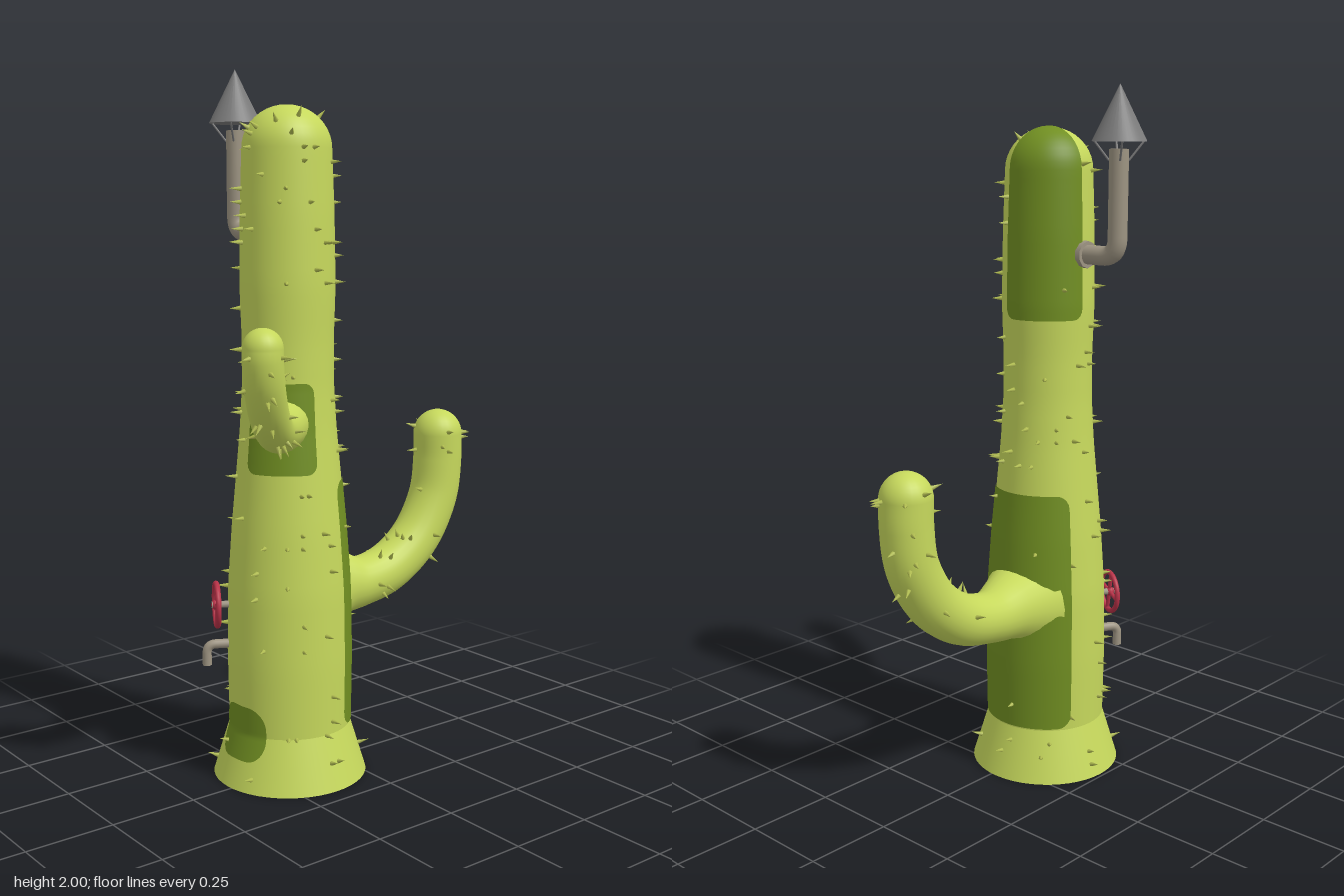
import * as THREE from 'three';
import { mergeGeometries } from 'three/addons/utils/BufferGeometryUtils.js';

const CX = -0.155, CZ = -0.02; // trunk axis
const V = (x, y, z) => new THREE.Vector3(x, y, z);
const mat = (color, side = THREE.FrontSide) => new THREE.MeshStandardMaterial({ color, side });
const skin = mat(0xc6d85c), dark = mat(0x718f22), pipeMat = mat(0x9d9482);
const hoodMat = mat(0x7b7b7b), red = mat(0xb83248), spineMat = mat(0xb3bf52);

let seed = 7;
const rand = () => (seed = (seed * 16807) % 2147483647) / 2147483647;

function add(parent, name, geometry, material) {
  const mesh = new THREE.Mesh(geometry, material);
  mesh.name = name;
  parent.add(mesh);
  return mesh;
}

// Trunk radius by height: flared foot, gentle taper, domed top
const PROFILE = [[0, 0.22], [0.15, 0.174], [0.35, 0.177], [0.55, 0.174], [0.72, 0.162], [0.86, 0.149],
  [1.0, 0.136], [1.12, 0.129], [1.25, 0.128], [1.4, 0.133], [1.6, 0.13], [1.77, 0.124]];
const TOP = 1.888, DOME = 1.77;
function trunkRadius(y) {
  if (y >= DOME) return 0.124 * Math.sqrt(Math.max(0, 1 - ((y - DOME) / (TOP - DOME)) ** 2));
  const i = PROFILE.findIndex((p) => p[0] > y);
  const [a, b] = [PROFILE[i - 1], PROFILE[i]];
  return THREE.MathUtils.lerp(a[1], b[1], (y - a[0]) / (b[0] - a[0]));
}

function trunkGeometry() {
  const pts = [];
  for (let i = 0; i <= 45; i++) pts.push(new THREE.Vector2(trunkRadius(0.15 + i * 0.036), 0.15 + i * 0.036));
  for (let i = 1; i <= 10; i++) {
    const a = (i / 10) * Math.PI / 2;
    pts.push(new THREE.Vector2(Math.max(0, 0.124 * Math.cos(a)), DOME + (TOP - DOME) * Math.sin(a)));
  }
  return new THREE.LatheGeometry(pts, 48).translate(CX, 0, CZ);
}

// Dark skin patch wrapped on the trunk; angles in degrees from +x towards +z
const PATCHES = [
  { from: -66, to: 66, y0: 0.155, y1: 0.86, round: 0.04 },
  { from: -86, to: 18, y0: 1.36, y1: TOP, round: 0.03, openTop: true },
  { from: 94, to: 176, y0: 0.89, y1: 1.14, round: 0.03 },
  { from: 148, to: 205, y0: 0.08, y1: 0.23, round: 0.06 },
];
function patchGeometry({ from, to, y0, y1, round, openTop }) {
  const rows = 32, cols = 24, pos = [], index = [];
  for (let j = 0; j <= rows; j++) {
    const y = y0 + (y1 - y0) * (1 - Math.cos((j / rows) * Math.PI)) / 2;
    const r = trunkRadius(y) + 0.003;
    // rounded corners: narrow the rows near each end
    const edge = Math.min(y - y0, openTop ? 9 : y1 - y, round);
    const cut = round - Math.sqrt(Math.max(0, round ** 2 - (round - edge) ** 2));
    const inset = cut / Math.max(r, 0.1);
    const a0 = THREE.MathUtils.degToRad(from) + inset, a1 = THREE.MathUtils.degToRad(to) - inset;
    for (let i = 0; i <= cols; i++) {
      const a = a0 + (a1 - a0) * i / cols;
      pos.push(CX + r * Math.cos(a), y + (y >= DOME ? 0.003 : 0), CZ + r * Math.sin(a));
      if (i < cols && j < rows) {
        const p = j * (cols + 1) + i, q = p + cols + 1;
        index.push(p, q, p + 1, q, q + 1, p + 1);
      }
    }
  }
  const g = new THREE.BufferGeometry();
  g.setAttribute('position', new THREE.Float32BufferAttribute(pos, 3));
  g.setIndex(index);
  g.computeVertexNormals();
  return g;
}

// Tube whose rings widen towards the trunk, closed with a round tip
function armGeometry(points, radius, flare, flareLength) {
  const path = new THREE.CatmullRomCurve3(points), n = 48, sides = 24;
  const tube = new THREE.TubeGeometry(path, n, radius, sides);
  const p = tube.attributes.position, v = new THREE.Vector3();
  for (let i = 0; i <= n; i++) {
    const c = path.getPointAt(i / n);
    const f = Math.max(0, 1 - i / n / flareLength);
    const s = 1 + (flare / radius - 1) * f * f;
    for (let k = 0; k <= sides; k++) {
      const id = i * (sides + 1) + k;
      v.fromBufferAttribute(p, id).sub(c).multiplyScalar(s).add(c);
      p.setXYZ(id, v.x, v.y, v.z);
    }
  }
  const end = points[points.length - 1];
  const tip = new THREE.SphereGeometry(radius, sides, 10, 0, Math.PI * 2, 0, Math.PI / 2).translate(end.x, end.y, end.z);
  return mergeGeometries([tube, tip]);
}

const inPatch = (p) => PATCHES.some((q) => {
  let a = THREE.MathUtils.radToDeg(Math.atan2(p.z - CZ, p.x - CX));
  if (a < -90) a += 360;
  return a > q.from && a < q.to && p.y > q.y0 && p.y < q.y1;
});

// Small cones standing on randomly chosen surface points
function spinesOn(surface, count, accept) {
  const pos = surface.attributes.position, nor = surface.attributes.normal, list = [];
  const p = V(0, 0, 0), n = V(0, 0, 0), q = new THREE.Quaternion();
  for (let tries = 0; list.length < count && tries < 3000; tries++) {
    const id = Math.floor(rand() * pos.count);
    p.fromBufferAttribute(pos, id);
    n.fromBufferAttribute(nor, id).normalize();
    if (!accept(p)) continue;
    q.setFromUnitVectors(V(0, 1, 0), n);
    const len = 0.026 + rand() * 0.012;
    list.push(new THREE.ConeGeometry(0.0075, len, 6).translate(0, len / 2 - 0.003, 0)
      .applyQuaternion(q).translate(p.x, p.y, p.z));
  }
  return mergeGeometries(list);
}

function rod(a, b, r) {
  const d = b.clone().sub(a), m = a.clone().add(b).multiplyScalar(0.5);
  return new THREE.CylinderGeometry(r, r, d.length(), 10)
    .applyQuaternion(new THREE.Quaternion().setFromUnitVectors(V(0, 1, 0), d.normalize())).translate(m.x, m.y, m.z);
}

// Pipe with one rounded elbow
function elbow(a, corner, b, bend, r) {
  const p = corner.clone().add(a.clone().sub(corner).setLength(bend));
  const q = corner.clone().add(b.clone().sub(corner).setLength(bend));
  const path = new THREE.CurvePath();
  path.add(new THREE.LineCurve3(a, p));
  path.add(new THREE.QuadraticBezierCurve3(p, corner, q));
  path.add(new THREE.LineCurve3(q, b));
  return new THREE.TubeGeometry(path, 48, r, 16);
}

export function createModel() {
  const model = new THREE.Group();
  model.name = 'cactus';

  // Trunk, flared foot and patches
  const trunk = trunkGeometry();
  add(model, 'trunk', trunk, skin);
  const foot = new THREE.CylinderGeometry(0.174, 0.22, 0.15, 48, 4).translate(CX, 0.075, CZ);
  add(model, 'foot', foot, skin);
  PATCHES.forEach((p) => add(model, 'darkPatch', patchGeometry(p), dark));

  // Arms
  const big = [[-0.06, 0.53], [0.02, 0.522], [0.1, 0.513], [0.22, 0.54], [0.33, 0.62], [0.4, 0.74], [0.417, 0.85], [0.417, 0.93]]
    .map(([x, y]) => V(x, y, -0.025));
  const bigArm = armGeometry(big, 0.074, 0.15, 0.26);
  add(model, 'leftArm', bigArm, skin);
  const small = [[0.08, 1.03], [0.17, 1.018], [0.25, 1.037], [0.33, 1.09], [0.39, 1.17], [0.41, 1.235], [0.41, 1.262]]
    .map(([d, y]) => V(CX - d * 0.707, y, CZ + d * 0.707));
  const smallArm = armGeometry(small, 0.053, 0.085, 0.4);
  add(model, 'rightArm', smallArm, skin);

  // Spines
  add(model, 'trunkSpines', spinesOn(trunk, 125, (p) => p.y < 1.87 && (!inPatch(p) || rand() < 0.25)), spineMat);
  add(model, 'footSpines', spinesOn(foot, 12, (p) => p.y > 0.03 && p.y < 0.14), spineMat);
  add(model, 'leftArmSpines', spinesOn(bigArm, 32, (p) => p.x > 0.1 && p.y < 0.97), spineMat);
  add(model, 'rightArmSpines', spinesOn(smallArm, 34, (p) => p.x < -0.27 && p.y < 1.3), spineMat);

  // Chimney: pipe, wall flange, struts and conical hood
  const chimney = new THREE.Group();
  chimney.name = 'chimney';
  chimney.position.x = CX;
  model.add(chimney);
  const cz = -0.268;
  add(chimney, 'chimneyPipe', elbow(V(0, 1.542, -0.12), V(0, 1.542, cz), V(0, 1.83, cz), 0.05, 0.027), mat(0x9d9482, THREE.DoubleSide));
  add(chimney, 'chimneyFlange', rod(V(0, 1.542, -0.14), V(0, 1.542, -0.165), 0.038), pipeMat);
  add(chimney, 'chimneyHood', new THREE.ConeGeometry(0.075, 0.15, 32).translate(0, 1.925, cz), hoodMat);
  for (let i = 0; i < 4; i++) {
    const a = (i + 0.5) * Math.PI / 2, c = Math.cos(a), s = Math.sin(a);
    add(chimney, 'hoodStrut', rod(V(c * 0.027, 1.8, cz + s * 0.027), V(c * 0.068, 1.852, cz + s * 0.068), 0.003), hoodMat);
  }

  // Tap: local +z points out of the trunk
  const tap = new THREE.Group();
  tap.name = 'tap';
  tap.position.set(CX, 0, CZ);
  tap.rotation.y = Math.atan2(-0.89, -0.46);
  model.add(tap);
  add(tap, 'tapSpout', elbow(V(0, 0.385, 0.15), V(0, 0.385, 0.237), V(0, 0.325, 0.237), 0.025, 0.013), mat(0x9d9482, THREE.DoubleSide));
  add(tap, 'wheelStem', rod(V(0, 0.5, 0.15), V(0, 0.5, 0.222), 0.01), pipeMat);
  add(tap, 'wheelRim', new THREE.TorusGeometry(0.06, 0.008, 10, 32).translate(0, 0.5, 0.208), red);
  add(tap, 'wheelHub', new THREE.SphereGeometry(0.014, 12, 8).translate(0, 0.5, 0.21), red);
  for (let i = 0; i < 2; i++) {
    const a = i * Math.PI / 2 + 0.2, c = Math.cos(a) * 0.06, s = Math.sin(a) * 0.06;
    add(tap, 'wheelSpoke', rod(V(-c, 0.5 - s, 0.208), V(c, 0.5 + s, 0.208), 0.006), red);
  }
  return model;
}
